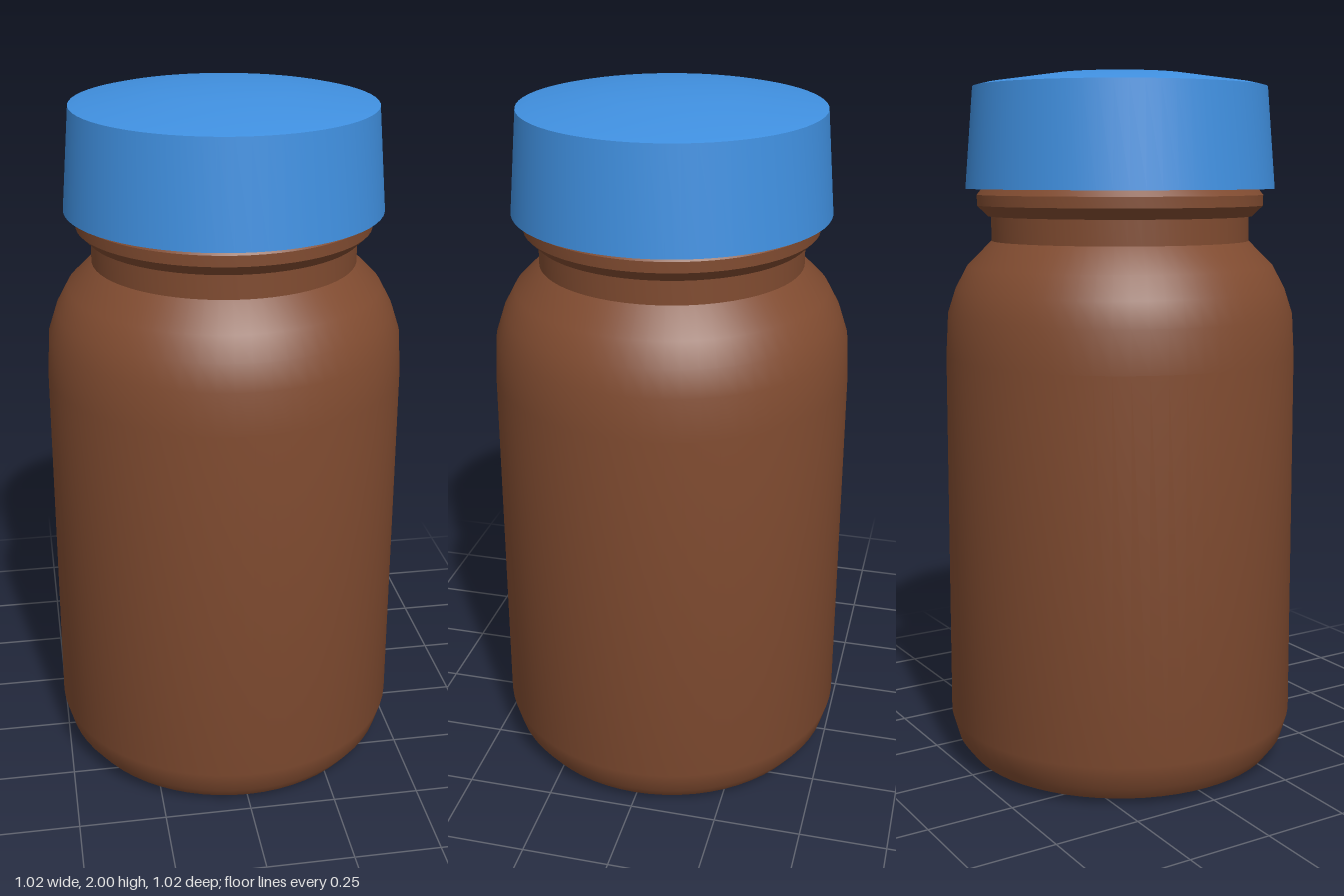
import * as THREE from 'three';
import { toCreasedNormals } from 'three/addons/utils/BufferGeometryUtils.js';

const brown = new THREE.MeshStandardMaterial({ color: 0x804b30 });
brown.name = 'brown';
const blue = new THREE.MeshStandardMaterial({ color: 0x4090e0 });
blue.name = 'blue';

// Revolves a [radius, height] profile, listed from bottom to top
function turned(name, profile, material) {
  const points = profile.map(([r, y]) => new THREE.Vector2(r, y));
  const geometry = toCreasedNormals(new THREE.LatheGeometry(points, 64), 0.5);
  const mesh = new THREE.Mesh(geometry, material);
  mesh.name = name;
  return mesh;
}

export function createModel() {
  const group = new THREE.Group();
  group.name = 'bottle';

  // Flat base, rounded foot, straight wall, curved shoulder and neck
  group.add(turned('bottleBody', [
    [0, 0], [0.42, 0.005], [0.46, 0.02], [0.49, 0.06], [0.51, 0.13],
    [0.505, 1.2], [0.498, 1.32], [0.475, 1.39], [0.44, 1.455],
    [0.37, 1.525], [0.37, 1.7],
  ], brown));

  // Bevelled ring around the neck
  group.add(turned('neckRing', [
    [0.36, 1.595], [0.38, 1.595], [0.41, 1.625], [0.41, 1.655], [0.39, 1.68], [0.36, 1.68],
  ], brown));

  // Tapered cap with a shallow domed top
  group.add(turned('cap', [
    [0.36, 1.672], [0.442, 1.672], [0.418, 1.955],
    [0.385, 1.963], [0.19, 1.991], [0, 2],
  ], blue));

  return group;
}
